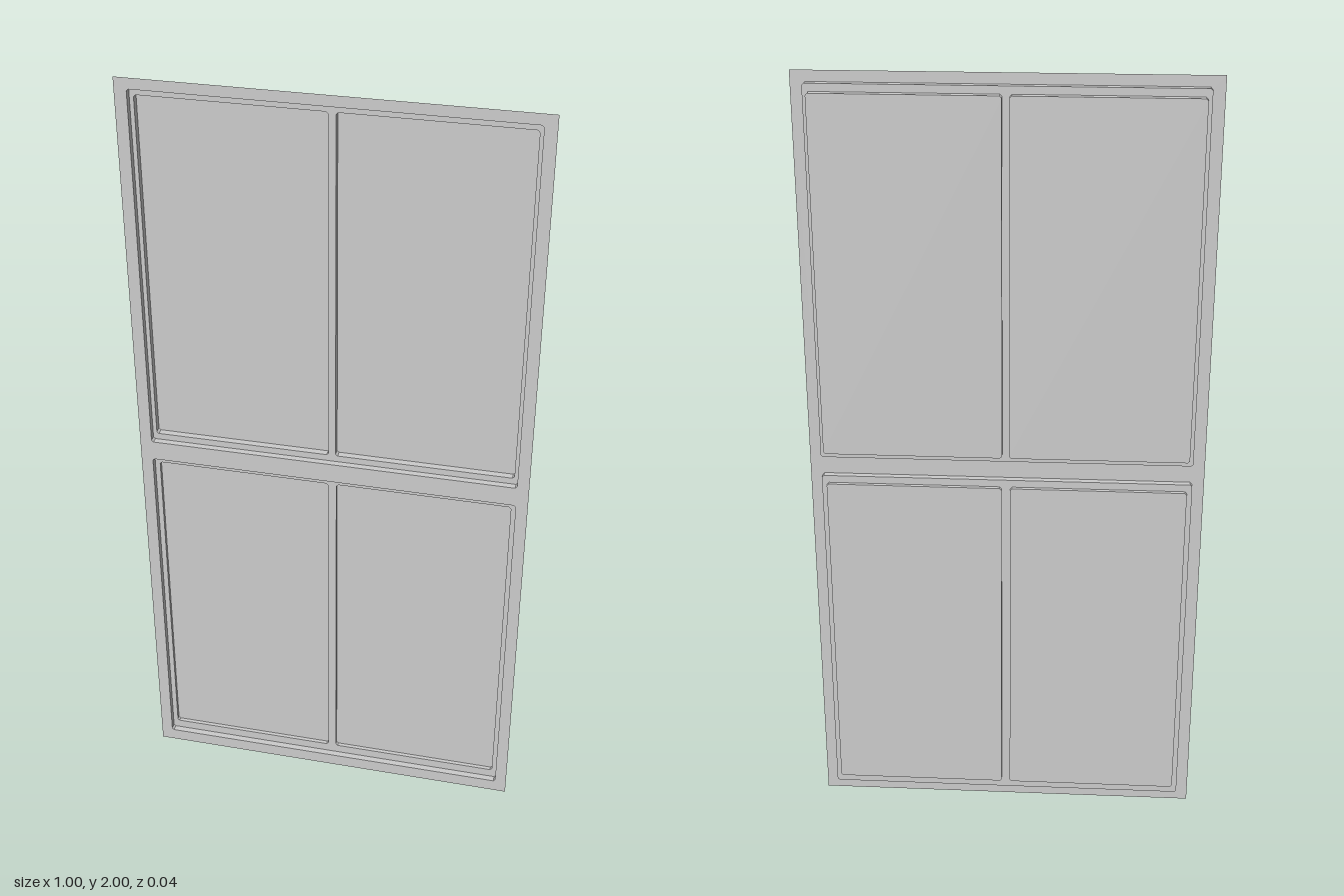
import * as THREE from 'three';

const FRONT = 0.0175, LEDGE = 0.0005, CORNER = 0.005;

// Counter-clockwise rectangle outline with softly cut corners
function outline([x0, x1, y0, y1], c = CORNER) {
  const corners = c === 0
    ? [[x0, y0], [x1, y0], [x1, y1], [x0, y1]]
    : [[x0 + c, y0], [x1 - c, y0], [x1, y0 + c], [x1, y1 - c],
      [x1 - c, y1], [x0 + c, y1], [x0, y1 - c], [x0, y0 + c]];
  return corners.map(([x, y]) => new THREE.Vector2(x, y));
}

export function createModel() {
  const group = new THREE.Group();
  const material = new THREE.MeshStandardMaterial({
    color: 0xcccccc, flatShading: true, side: THREE.DoubleSide,
  });

  function add(name, geometry, z = 0) {
    const mesh = new THREE.Mesh(geometry, material);
    mesh.name = name;
    mesh.position.z = z;
    group.add(mesh);
  }

  // Flat sheet with rectangular openings
  function sheet(name, points, z, holes = []) {
    const shape = new THREE.Shape(points);
    for (const hole of holes) shape.holes.push(new THREE.Path(outline(hole)));
    add(name, new THREE.ShapeGeometry(shape), z);
  }

  // Thin wall around an opening, facing inwards
  function wall(name, rect, zFront, zBack) {
    const points = outline(rect);
    const positions = [], index = [];
    points.forEach((p, i) => {
      const a = 2 * i, b = 2 * ((i + 1) % points.length);
      positions.push(p.x, p.y, zFront, p.x, p.y, zBack);
      index.push(a, b, a + 1, b, b + 1, a + 1);
    });
    const geometry = new THREE.BufferGeometry();
    geometry.setAttribute('position', new THREE.Float32BufferAttribute(positions, 3));
    geometry.setIndex(index);
    geometry.computeVertexNormals();
    add(name, geometry);
  }

  // Upper and lower sashes, each with two panes
  const sashes = [
    { name: 'upper', recess: [-0.47, 0.47, 1.028, 1.973], back: -0.0175,
      panes: [[-0.46, -0.009, 1.045, 1.954], [0.009, 0.46, 1.045, 1.954]] },
    { name: 'lower', recess: [-0.47, 0.47, 0.034, 0.976], back: -0.01,
      panes: [[-0.457, -0.011, 0.058, 0.957], [0.011, 0.457, 0.058, 0.957]] },
  ];

  // Outer frame with the meeting rail
  sheet('frame', outline([-0.5, 0.5, 0, 2], 0), FRONT, sashes.map((s) => s.recess));

  for (const { name, recess, back, panes } of sashes) {
    wall(`${name}SashWall`, recess, FRONT, LEDGE);
    sheet(`${name}Sash`, outline(recess), LEDGE, panes);
    panes.forEach((pane, i) => {
      const side = i === 0 ? 'Right' : 'Left';
      wall(`${name}${side}PaneWall`, pane, LEDGE, back);
      sheet(`${name}${side}Pane`, outline(pane), back);
    });
  }
  return group;
}
